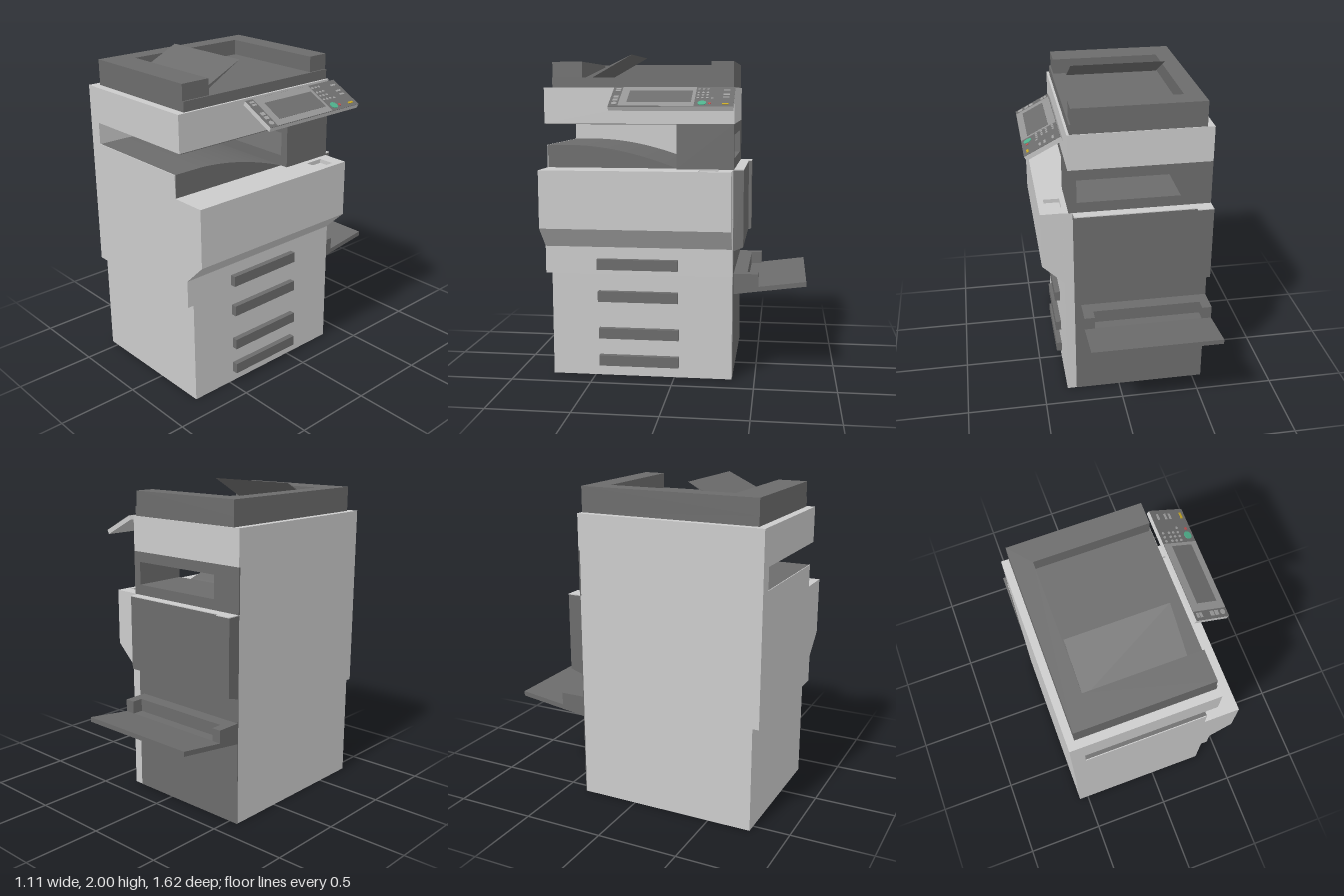
import * as THREE from 'three';

const mat = (color) => new THREE.MeshStandardMaterial({ color, flatShading: true });

export function createModel() {
  const root = new THREE.Group();
  const light = mat(0xcccccc), dark = mat(0x6c6c6c), key = mat(0xa0a0a0);
  const frame = mat(0x949494), green = mat(0x4fb08c), red = mat(0xc05050), yellow = mat(0xc8a820);

  const add = (name, geo, material, parent = root) => {
    const mesh = new THREE.Mesh(geo, material);
    mesh.name = name;
    parent.add(mesh);
    return mesh;
  };
  // Box given by its limits on each axis
  const box = (name, m, [x0, x1], [y0, y1], [z0, z1], parent) => {
    const g = new THREE.BoxGeometry(x1 - x0, y1 - y0, z1 - z0);
    g.translate((x0 + x1) / 2, (y0 + y1) / 2, (z0 + z1) / 2);
    return add(name, g, m, parent);
  };
  const shapeOf = (pts, hole) => {
    const s = new THREE.Shape(pts.map(([a, b]) => new THREE.Vector2(a, b)));
    if (hole) s.holes.push(new THREE.Path(hole.map(([a, b]) => new THREE.Vector2(a, b))));
    return s;
  };
  const rect = (a0, a1, b0, b1) => [[a0, b0], [a1, b0], [a1, b1], [a0, b1]];
  const extrude = (shape, depth) =>
    new THREE.ExtrudeGeometry(shape, { depth, bevelEnabled: false, curveSegments: 16 });
  // (x, y) profile running along z
  const alongZ = (name, m, shape, z0, z1) => add(name, extrude(shape, z1 - z0).translate(0, 0, z0), m);
  // (z, y) profile running along x
  const alongX = (name, m, shape, x0, x1) =>
    add(name, extrude(shape, x1 - x0).rotateY(-Math.PI / 2).translate(x1, 0, 0), m);

  // Lower cabinet with drawer handles
  box('lowerCabinet', light, [-0.56, 0.345], [0, 0.65], [-0.355, 0.77]);
  for (const [y, z0, z1] of [[0.715, -0.025, 0.48], [0.512, -0.025, 0.475], [0.277, -0.03, 0.47], [0.102, -0.03, 0.47]])
    box('drawerHandle', dark, [0.34, 0.38], [y - 0.033, y + 0.033], [z0, z1]);

  // Upper body with the side bulge
  alongZ('upperBody', light, shapeOf([
    [-0.56, 0.65], [0.345, 0.65], [0.345, 0.82], [0.48, 0.95], [0.48, 1.28],
    [0.31, 1.28], [0.31, 1.305], [-0.56, 1.305]]), -0.355, 0.81);
  // Bulge top with a small square recess
  add('bulgeTop', extrude(shapeOf(rect(0.31, 0.48, -0.355, 0.81), rect(0.343, 0.443, -0.275, -0.155)), 0.025)
    .rotateX(Math.PI / 2).translate(0, 1.305, 0), light);

  // Rear panel
  box('rearPanel', dark, [-0.56, 0.285], [0, 1.305], [-0.36, -0.355]);
  box('rearCornerStrip', light, [0.285, 0.345], [0, 1.305], [-0.358, -0.355]);

  // Output bay: left wall, curved paper bed, rear tower with a window
  box('bayWall', light, [-0.56, -0.48], [1.305, 1.58], [-0.35, 0.81]);
  box('bayWallRear', dark, [-0.56, -0.48], [1.305, 1.58], [-0.36, -0.35]);
  const bed = new THREE.Shape();
  bed.moveTo(-0.01, 1.305);
  bed.lineTo(0.805, 1.305);
  bed.lineTo(0.805, 1.445);
  bed.lineTo(0.62, 1.445);
  bed.quadraticCurveTo(0.33, 1.435, -0.01, 1.305);
  alongX('paperBed', dark, bed, -0.48, 0.26);
  box('paperBedFront', light, [-0.48, 0.26], [1.305, 1.445], [0.805, 0.81]);
  alongZ('rearTower', dark, shapeOf(rect(-0.48, 0.31, 1.305, 1.58), rect(-0.37, 0.26, 1.37, 1.515)), -0.36, -0.01);

  // Scanner section
  box('scannerBody', light, [-0.56, 0.31], [1.58, 1.8], [-0.36, 0.81]);
  box('bayCeiling', dark, [-0.48, 0.31], [1.576, 1.58], [-0.36, 0.8]);

  // Document feeder: base, C-shaped rim open to one side, lifted flap
  box('feederBase', dark, [-0.515, 0.295], [1.8, 1.86], [-0.355, 0.76]);
  add('feederRim', extrude(shapeOf([
    [-0.515, -0.355], [0.285, -0.355], [0.285, -0.22], [-0.4, -0.22],
    [-0.4, 0.575], [0.285, 0.575], [0.285, 0.76], [-0.515, 0.76]]), 0.095)
    .rotateX(Math.PI / 2).translate(0, 1.955, 0), dark);
  alongX('feederFlap', dark, shapeOf([[0.575, 1.86], [0.28, 2.0], [0.53, 1.86]]), -0.395, 0.205);

  // Rear door: slanted underside, thicker edge strip, light top
  const door = (z) => shapeOf([[-0.36, 0.8], [-0.36, 1.3], [z, 1.3], [z, 0.825]]);
  alongX('rearDoor', dark, door(-0.42), -0.46, 0.285);
  alongX('rearDoorStrip', dark, door(-0.44), -0.56, -0.46);
  box('rearDoorTop', light, [-0.46, 0.285], [1.3, 1.305], [-0.42, -0.355]);
  box('rearDoorStripTop', light, [-0.56, -0.46], [1.3, 1.305], [-0.44, -0.355]);

  // Rear bypass tray: sloping plate, bracket with a notch
  alongX('bypassTray', dark, shapeOf([
    [-0.36, 0.52], [-0.36, 0.57], [-0.51, 0.57], [-0.81, 0.61], [-0.81, 0.58]]), -0.56, 0.245);
  add('trayBracket', extrude(shapeOf([
    [-0.56, -0.36], [-0.56, -0.515], [-0.5, -0.515], [-0.5, -0.445],
    [0.18, -0.445], [0.18, -0.515], [0.245, -0.515], [0.245, -0.36]]), 0.085)
    .rotateX(Math.PI / 2).translate(0, 0.65, 0), dark);

  // Tilted control panel; keys are placed by their horizontal x and z
  const panel = new THREE.Group();
  panel.name = 'controlPanel';
  panel.position.set(0.345, 1.8, 0);
  panel.rotation.z = -0.4825;
  root.add(panel);
  const u = (x) => (x - 0.345) / 0.886;
  const plate = (name, m, x0, x1, z0, z1, h) => box(name, m, [u(x0), u(x1)], [-0.002, h], [z0, z1], panel);
  const round = (name, m, x, z, r) =>
    add(name, new THREE.CylinderGeometry(r, r, 0.006, 20).translate(u(x), 0, z), m, panel);
  box('panelBody', light, [0, 0.237], [-0.03, -0.002], [-0.368, 0.362], panel);
  plate('panelFace', dark, 0.345, 0.555, -0.368, 0.362, 0);
  plate('screenFrame', frame, 0.347, 0.553, -0.14, 0.305, 0.002);
  plate('screen', dark, 0.39, 0.515, -0.12, 0.258, 0.003);
  for (const z of [-0.21, -0.183, -0.156])
    for (const x of [0.37, 0.408, 0.436, 0.466]) round('keypadKey', key, x, z, 0.008);
  round('clearKey', key, 0.47, -0.24, 0.008);
  round('startKey', green, 0.52, -0.185, 0.025);
  round('stopKey', red, 0.525, -0.23, 0.009);
  for (const x of [0.383, 0.43, 0.458]) plate('modeKey', key, x - 0.006, x + 0.006, -0.34, -0.302, 0.003);
  plate('modeKey', yellow, 0.524, 0.536, -0.34, -0.302, 0.003);
  for (const [x, w] of [[0.366, 0.007], [0.386, 0.007], [0.456, 0.011], [0.486, 0.011]])
    plate('lowerKey', key, x - w, x + w, 0.315, 0.345, 0.003);
  round('powerKey', key, 0.525, 0.33, 0.016);

  return root;
}
